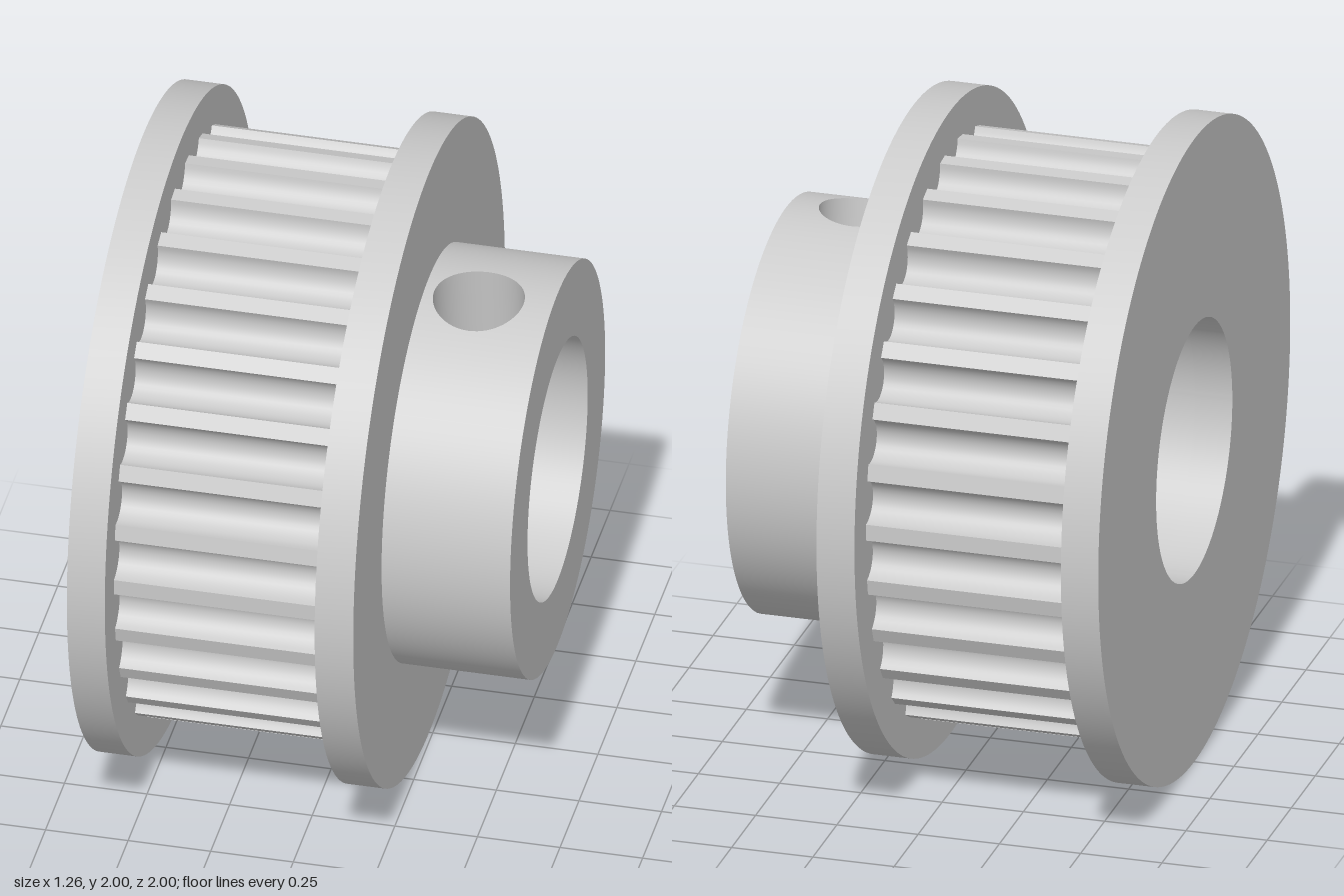
import * as THREE from 'three';
import { toCreasedNormals } from 'three/addons/utils/BufferGeometryUtils.js';
import { ParametricGeometry } from 'three/addons/geometries/ParametricGeometry.js';

// Pulley axis runs along x at height 1
const BORE = 0.397, HUB = 0.627, FLANGE = 1, TOOTH_TIP = 0.882;
const X = { left: -0.628, beltStart: -0.513, beltEnd: 0.122, hubStart: 0.239, right: 0.628 };
const TEETH = 30, GROOVE_HALF = 0.067, GROOVE_DEPTH = 0.07, PHASE = -0.01;
const SCREW = { x: 0.405, r: 0.136, tilt: 0.107 };

const steel = new THREE.MeshStandardMaterial({ color: 0xcbcbcb });
steel.name = 'steel';

export function createModel() {
  const model = new THREE.Group();
  model.name = 'timingPulley';

  const add = (name, geometry, parent = model) => {
    const mesh = new THREE.Mesh(geometry, steel);
    mesh.name = name;
    parent.add(mesh);
  };

  // Extrude a bored, counter-clockwise outline along x
  const bored = (shape, x0, x1) => {
    shape.holes.push(new THREE.Path().absarc(0, 0, BORE, 0, Math.PI * 2, true));
    const g = new THREE.ExtrudeGeometry(shape, { depth: x1 - x0, bevelEnabled: false, curveSegments: 128 });
    g.rotateY(Math.PI / 2).translate(x0, 1, 0);
    return toCreasedNormals(g, 0.6);
  };
  const disc = () => new THREE.Shape().absarc(0, 0, FLANGE, 0, Math.PI * 2, false);

  // Flanges
  add('outerFlange', bored(disc(), X.left, X.beltStart));
  add('hubFlange', bored(disc(), X.beltEnd, X.hubStart));

  // Toothed belt seat: narrow lands between rounded grooves
  const outline = [];
  const pitch = (Math.PI * 2) / TEETH, steps = 14;
  for (let i = 0; i < TEETH; i++) {
    const centre = (i + 0.5) * pitch - PHASE;
    for (let j = 0; j <= steps; j++) {
      const t = (j / steps) * Math.PI;
      const a = centre - (GROOVE_HALF / TOOTH_TIP) * Math.cos(t);
      const r = TOOTH_TIP - GROOVE_DEPTH * Math.sin(t);
      outline.push(new THREE.Vector2(-r * Math.cos(a), -r * Math.sin(a)));
    }
  }
  add('toothedRing', bored(new THREE.Shape(outline), X.beltStart, X.beltEnd));

  // Hub with a tilted set screw hole through its wall
  const hub = new THREE.Group();
  hub.name = 'hub';
  model.add(hub);

  const onCylinder = (R, x, a, target) => target.set(x, 1 + R * Math.cos(a), R * Math.sin(a));
  const holeAngle = (R, t) => SCREW.tilt + Math.asin((SCREW.r * Math.sin(t)) / R);
  const middle = (X.hubStart + X.right) / 2, halfLength = (X.right - X.hubStart) / 2;

  const wall = (name, R, spread, inward) => {
    const flip = v => (inward ? 1 - v : v);
    // Plain arc of the wall
    add(name, new ParametricGeometry((u, v, p) => {
      const a = SCREW.tilt + spread + u * (Math.PI * 2 - 2 * spread);
      onCylinder(R, X.hubStart + flip(v) * 2 * halfLength, a, p);
    }, 112, 1), hub);
    // Patch that blends from the round hole to a rectangular border
    add(name + 'HolePatch', new ParametricGeometry((u, v, p) => {
      const t = u * Math.PI * 2, w = flip(v);
      const k = 1 / Math.max(Math.abs(Math.cos(t)), Math.abs(Math.sin(t)));
      const x = THREE.MathUtils.lerp(SCREW.x + SCREW.r * Math.cos(t), middle + halfLength * k * Math.cos(t), w);
      const a = THREE.MathUtils.lerp(holeAngle(R, t), SCREW.tilt + spread * k * Math.sin(t), w);
      onCylinder(R, x, a, p);
    }, 64, 8), hub);
  };
  wall('hubOuterWall', HUB, 0.4, false);
  wall('hubBore', BORE, 0.55, true);

  // Side of the set screw hole
  const inner = new THREE.Vector3();
  add('setScrewHole', new ParametricGeometry((u, v, p) => {
    const t = u * Math.PI * 2;
    const x = SCREW.x + SCREW.r * Math.cos(t);
    onCylinder(BORE, x, holeAngle(BORE, t), inner);
    onCylinder(HUB, x, holeAngle(HUB, t), p);
    p.lerp(inner, 1 - v);
  }, 64, 1), hub);

  // Hub end face
  add('hubEnd', new THREE.RingGeometry(BORE, HUB, 128).rotateY(Math.PI / 2).translate(X.right, 1, 0), hub);

  return model;
}
